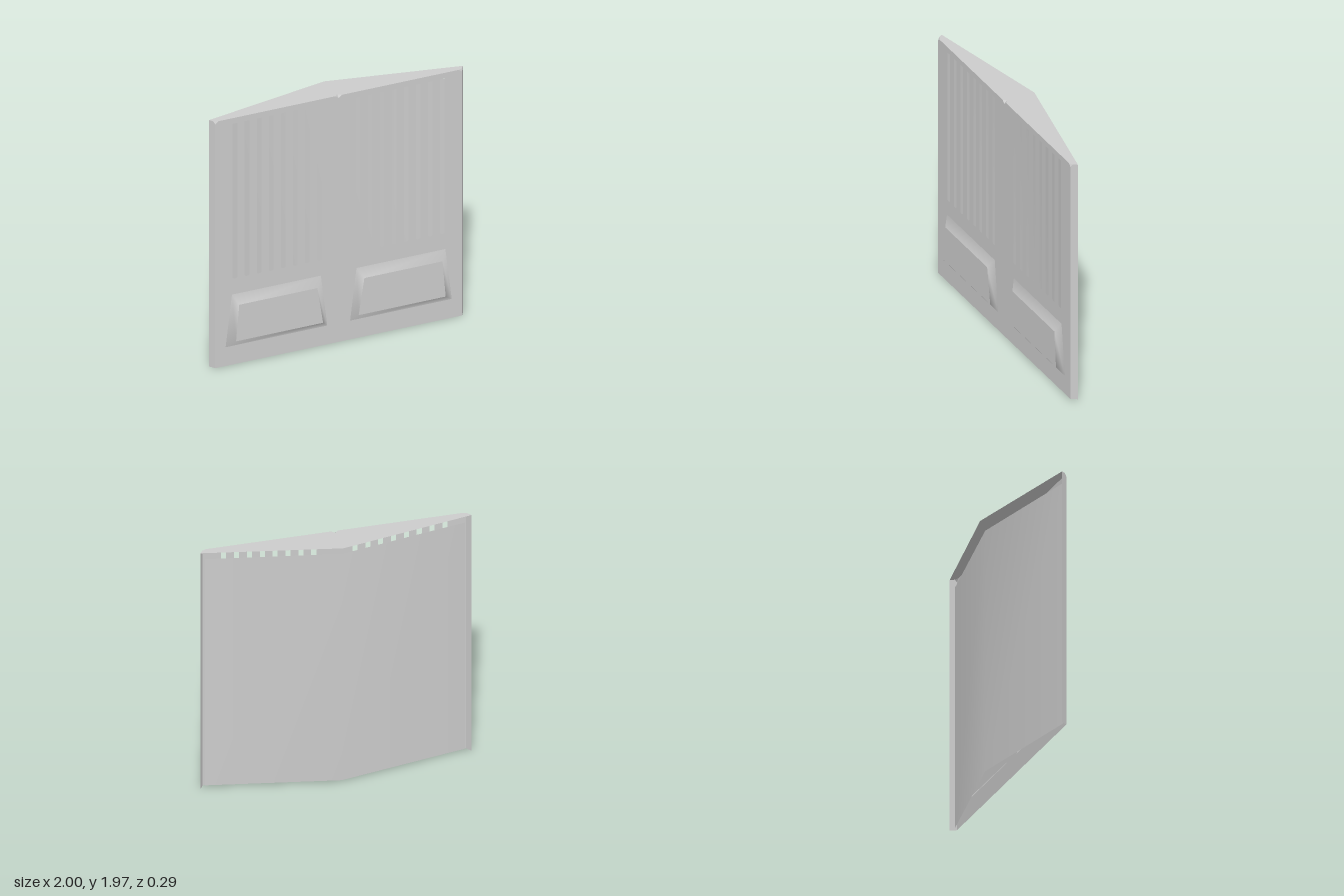
import * as THREE from 'three';

const H = 1.97;      // overall height
const W = 0.972;     // half width of the front plate
const ZF = 0.1;      // plane of the front plate
const material = new THREE.MeshStandardMaterial({ color: 0xcccccc, side: THREE.DoubleSide });

function addMesh(parent, name, geometry) {
  const mesh = new THREE.Mesh(geometry, material);
  mesh.name = name;
  parent.add(mesh);
  return mesh;
}

const toShape = (pts) => new THREE.Shape(pts.map(([x, y]) => new THREE.Vector2(x, y)));
const mirror = (pts) => pts.map(([x, ...rest]) => [-x, ...rest]).reverse();

// Convex flat polygon, corners counter-clockwise seen from outside
function polygon(pts) {
  const index = [];
  for (let i = 1; i < pts.length - 1; i++) index.push(0, i, i + 1);
  return surface(pts, index);
}

function surface(pts, index) {
  const g = new THREE.BufferGeometry();
  g.setAttribute('position', new THREE.Float32BufferAttribute(pts.flat(), 3));
  g.setIndex(index);
  g.computeVertexNormals();
  return g;
}

// Foot and flat top of the raised panel on the +x side
const foot = [[0.09, 0.15], [0.89, 0.15], [0.84, 0.56], [0.14, 0.56]];
const crown = [[0.14, 0.2], [0.825, 0.2], [0.8, 0.487], [0.185, 0.487]];

function slotHole(x) {
  const r = 0.0185, c = 0.009, y0 = 0.685, y1 = 1.925;
  return toShape([
    [x - r + c, y0], [x + r - c, y0], [x + r, y0 + c], [x + r, y1],
    [x - r, y1], [x - r, y0 + c],
  ]);
}

function frontPlate() {
  const plate = toShape([
    [-W, 0], [W, 0], [W, H - 0.02], [W - 0.025, H],
    [0.025, H], [0, H - 0.02], [-0.025, H],
    [-W + 0.025, H], [-W, H - 0.02],
  ]);
  for (const side of [-1, 1]) {
    for (let i = 0; i < 8; i++) plate.holes.push(slotHole(side * (0.152 + i * 0.0949)));
    plate.holes.push(toShape(side > 0 ? foot : mirror(foot)));
  }
  return new THREE.ShapeGeometry(plate).translate(0, 0, ZF);
}

function raisedPanel(side) {
  const lift = (pts, z) => (side > 0 ? pts : mirror(pts)).map(([x, y]) => [x, y, z]);
  const pts = [...lift(foot, ZF), ...lift(crown, ZF + 0.037)];
  const slopes = [];
  for (let i = 0; i < 4; i++) {
    const j = (i + 1) % 4;
    slopes.push(i, j, j + 4, i, j + 4, i + 4);
  }
  const g = surface(pts, slopes);
  // Blend the foot into the plate
  for (let i = 0; i < 4; i++) {
    const n = new THREE.Vector3().fromBufferAttribute(g.attributes.normal, i);
    n.z += 1;
    n.normalize();
    g.attributes.normal.setXYZ(i, n.x, n.y, n.z);
  }
  return [g, polygon(pts.slice(4))];
}

function topCover() {
  // Shape y is -z before it is laid flat
  const outline = [
    [0, ZF - 0.025], [0.025, ZF], [W - 0.025, ZF], [0.98, 0.086], [1, 0.055],
    [0, -0.145],
    [-1, 0.055], [-0.98, 0.086], [-W + 0.025, ZF], [-0.025, ZF],
  ];
  return new THREE.ShapeGeometry(toShape(outline.map(([x, z]) => [x, -z])))
    .rotateX(-Math.PI / 2).translate(0, H, 0);
}

function backPanel() {
  const pts = [];
  for (const [x, z] of [[-0.96, 0.08], [0, -0.106], [0.96, 0.08]]) {
    pts.push([x, 0.01, z], [x, 1.9, z]);
  }
  return surface(pts, [0, 1, 2, 2, 1, 3, 2, 3, 4, 4, 3, 5]);
}

export function createModel() {
  const model = new THREE.Group();
  model.name = 'slottedPanel';
  const body = new THREE.Group();
  body.name = 'body';
  body.rotation.y = 0.01; // slight turn of the whole unit
  model.add(body);

  addMesh(body, 'frontPlate', frontPlate());
  addMesh(body, 'topCover', topCover());
  addMesh(body, 'backPanel', backPanel());

  // Notch in the middle of the top front edge
  const notch = [[-0.025, H, ZF], [0, H - 0.02, ZF], [0, H, ZF - 0.025]];
  addMesh(body, 'notchRight', polygon(notch));
  addMesh(body, 'notchLeft', polygon(mirror(notch)));

  // Slanted side edges with clipped top corners
  const edge = [
    [W, 0, ZF], [1, 0, 0.055], [1, H, 0.055], [0.98, H, 0.086], [W, H - 0.02, ZF],
  ];
  const corner = [[W - 0.025, H, ZF], [W, H - 0.02, ZF], [0.98, H, 0.086]];
  for (const side of [-1, 1]) {
    const label = side > 0 ? 'Left' : 'Right';
    const place = (pts) => (side > 0 ? pts : mirror(pts));
    addMesh(body, 'sideEdge' + label, polygon(place(edge)));
    addMesh(body, 'cornerNotch' + label, polygon(place(corner)));
    const [slopes, top] = raisedPanel(side);
    addMesh(body, 'raisedPanelSlopes' + label, slopes);
    addMesh(body, 'raisedPanelTop' + label, top);
  }
  return model;
}
